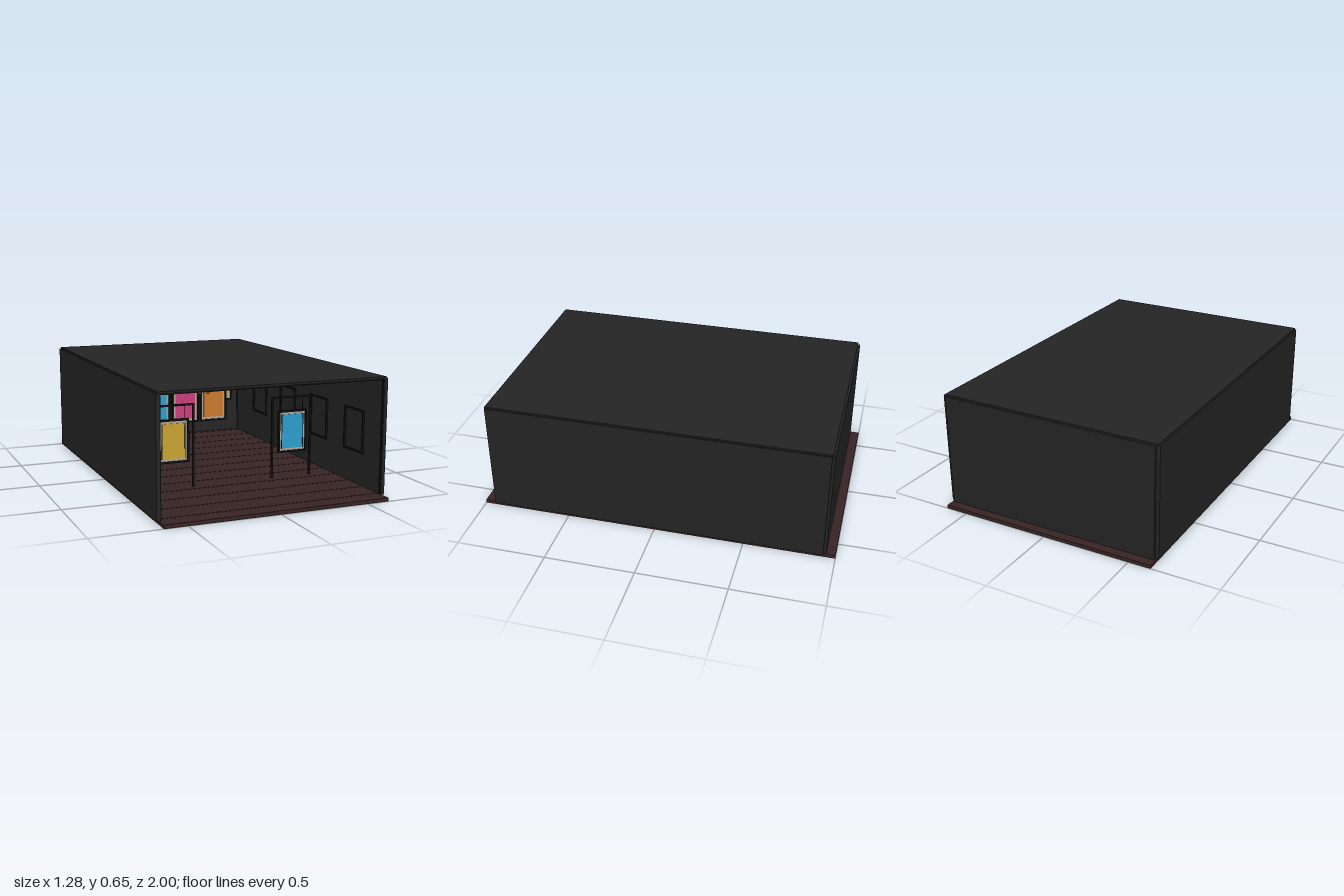
import * as THREE from 'three';

const mat = (name, color) => {
  const m = new THREE.MeshStandardMaterial({ color });
  m.name = name;
  return m;
};

export function createModel() {
  const charcoal = mat('charcoal wall', 0x242424);
  const wood = mat('dark red wood', 0x382323);
  const seam = mat('plank seam', 0x1d1212);
  const black = mat('black metal', 0x121212);
  const mount = mat('pale mount', 0xb0a898);
  const yellow = mat('yellow canvas', 0xcca433);
  const blue = mat('blue canvas', 0x2ca0d0);
  const pink = mat('pink canvas', 0xcc3f7c);
  const orange = mat('orange canvas', 0xcc7a2c);
  const brass = mat('brass', 0x8f6a3c);

  const root = new THREE.Group();
  root.name = 'galleryRoom';

  const box = (parent, name, material, w, h, d, x, y, z) => {
    const mesh = new THREE.Mesh(new THREE.BoxGeometry(w, h, d), material);
    mesh.name = name;
    mesh.position.set(x, y, z);
    parent.add(mesh);
    return mesh;
  };
  const group = (parent, name, x = 0, y = 0, z = 0) => {
    const g = new THREE.Group();
    g.name = name;
    g.position.set(x, y, z);
    parent.add(g);
    return g;
  };

  // Floor with plank seams running across the room
  box(root, 'floor', wood, 1.25, 0.02, 2, 0, 0.01, 0);
  for (let i = 0; i < 13; i++) {
    box(root, 'plankSeam', seam, 1.23, 0.001, 0.006, 0, 0.0204, 0.9 - i * 0.15);
  }

  // Shell, open at the front
  for (const s of [-1, 1]) {
    box(root, 'sideWall', charcoal, 0.02, 0.625, 1.87, s * 0.629, 0.3325, 0);
    box(root, 'wallTrim', black, 0.006, 0.615, 0.012, s * 0.616, 0.328, 0.925);
    box(root, 'backCornerTrim', black, 0.006, 0.615, 0.006, s * 0.616, 0.328, -0.927);
  }
  box(root, 'backWall', charcoal, 1.238, 0.625, 0.02, 0, 0.3325, -0.94);
  box(root, 'ceiling', charcoal, 1.26, 0.012, 1.875, 0, 0.647, 0);
  box(root, 'ceilingTrim', black, 1.23, 0.006, 0.012, 0, 0.638, 0.925);

  // Rectangular frame with an opening, extruded forward
  const frameGeometry = (w, h, t, d) => {
    const rect = (path, a, b) => path.moveTo(-a, -b).lineTo(a, -b).lineTo(a, b).lineTo(-a, b).closePath();
    const shape = new THREE.Shape();
    rect(shape, w / 2, h / 2);
    const hole = new THREE.Path();
    rect(hole, w / 2 - t, h / 2 - t);
    shape.holes.push(hole);
    return new THREE.ExtrudeGeometry(shape, { depth: d, bevelEnabled: false });
  };

  // Framed picture: black surround, pale mount and coloured canvas
  const picture = (name, w, h, border, x, y, z, color) => {
    const g = group(root, name, x, y, z);
    const frame = new THREE.Mesh(frameGeometry(w + 0.02, h + 0.02, 0.01, 0.02), black);
    frame.name = 'outerFrame';
    g.add(frame);
    box(g, 'mount', mount, w, h, 0.012, 0, 0, 0.006);
    box(g, 'canvas', color, w - border * 2, h - border * 2, 0.004, 0, 0, 0.013);
    return g;
  };

  // Small pictures on the back wall
  [orange, orange, blue, pink, yellow].forEach((c, i) => {
    picture('backPicture', 0.16, 0.15, 0.014, [-0.415, -0.165, 0.025, 0.235, 0.475][i], 0.32, -0.925, c);
  });

  // Middle row of hanging pictures
  [blue, pink, orange].forEach((c, i) => {
    picture('middlePicture', 0.157, 0.215, 0.014, (i - 1) * 0.188, 0.338, -0.35, c);
  });

  // Two freestanding pictures on post frames near the front
  for (const [s, c] of [[-1, yellow], [1, blue]]) {
    const g = picture('frontPicture', 0.157, 0.22, 0.013, s * 0.357, 0.285, 0.4, c);
    for (const e of [-1, 1]) box(g, 'innerStrip', black, 0.004, 0.195, 0.003, e * 0.066, 0, 0.015);
    const stand = group(root, 'pictureStand', s * 0.357, 0, 0.4);
    for (const e of [-1, 1]) box(stand, 'post', black, 0.011, 0.46, 0.011, e * 0.119, 0.25, 0);
    box(stand, 'topBeam', black, 0.249, 0.01, 0.011, 0, 0.478, 0);
    for (const e of [-1, 1]) box(stand, 'hanger', black, 0.003, 0.08, 0.003, e * 0.07, 0.435, 0);
  }

  // Dark frames along both side walls
  const wallFrame = frameGeometry(0.2, 0.24, 0.009, 0.012);
  for (const s of [-1, 1]) {
    for (let i = 0; i < 4; i++) {
      const f = new THREE.Mesh(wallFrame, black);
      f.name = 'sideWallFrame';
      f.position.set(s * 0.62, 0.32, 0.65 - i * 0.4);
      f.rotation.y = -s * Math.PI / 2;
      root.add(f);
    }
  }

  // Hanging lamps: a cord with a bunch of small globes
  const globe = new THREE.SphereGeometry(0.0135, 12, 8);
  const lamp = (x, z, globes, bottom) => {
    const g = group(root, 'hangingLamp', x, 0, z);
    const top = bottom + (globes - 1) * 0.016;
    box(g, 'cord', brass, 0.0022, 0.64 - top, 0.0022, 0, (0.64 + top) / 2, 0);
    for (let i = 0; i < globes; i++) {
      const b = new THREE.Mesh(globe, brass);
      b.name = 'globe';
      b.position.set(i % 2 ? 0.006 : -0.004, bottom + i * 0.016, i % 2 ? 0.008 : -0.008);
      g.add(b);
    }
  };
  [-0.425, -0.3, -0.175, 0.2, 0.325, 0.452].forEach((x, i) => {
    lamp(x - 0.014, 0.02, 3, i % 2 ? 0.475 : 0.49);
    lamp(x + 0.014, -0.02, 4, 0.48);
  });

  // Denser cluster in the middle
  for (let i = 0; i < 14; i++) {
    lamp(-0.1 + i * 0.0147, 0.08 * Math.sin(i * 2.4), 1 + (i * 5) % 3, 0.48 + 0.012 * ((i * 7) % 3));
  }

  return root;
}
